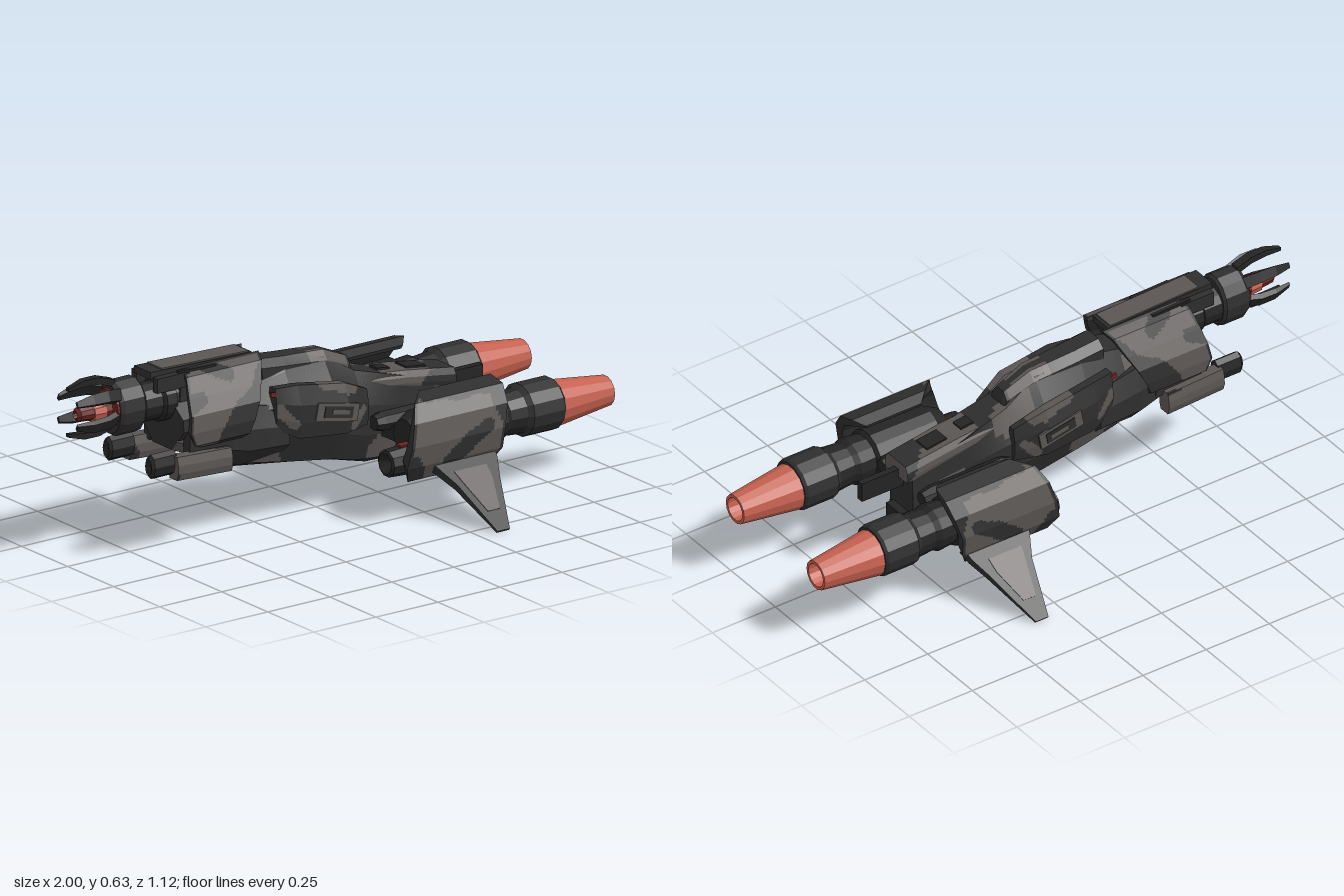
import * as THREE from 'three';

const paint = (name, color) => Object.assign(new THREE.MeshStandardMaterial({ color }), { name });
const V = (x, y, z) => new THREE.Vector3(x, y, z);

export function createModel() {
  const root = new THREE.Group();
  root.name = 'spaceship';
  const grey = paint('camouflage grey', 0x5b5654);
  const dark = paint('hull charcoal', 0x2e2e2e);
  const black = paint('machinery black', 0x242424);
  const glow = paint('exhaust coral', 0xc4604f);
  const red = paint('accent red', 0x6a2420);

  function add(name, geo, mat, parent = root) {
    const mesh = new THREE.Mesh(geo, mat);
    mesh.name = name;
    parent.add(mesh);
    return mesh;
  }

  // Flat-faced loft through rings of points; pick(centre, along, around) gives 0 or 1 for each face's material
  function loft(name, rings, mats, parent = root, pick = () => 0, su = 1, sv = 1) {
    const fine = [];
    const split = ring => ring.flatMap((p, i) => Array.from({ length: sv },
      (_, k) => p.clone().lerp(ring[(i + 1) % ring.length], k / sv)));
    const full = rings.map(split);
    full.forEach((ring, i) => {
      const steps = i < full.length - 1 ? su : 1;
      for (let k = 0; k < steps; k++)
        fine.push(ring.map((p, j) => k ? p.clone().lerp(full[i + 1][j], k / su) : p));
    });
    const tris = [];
    const n = fine[0].length;
    for (let i = 0; i < fine.length - 1; i++) for (let j = 0; j < n; j++) {
      const [a, b] = [fine[i][j], fine[i][(j + 1) % n]];
      const [d, c] = [fine[i + 1][j], fine[i + 1][(j + 1) % n]];
      const centre = a.clone().add(b).add(c).add(d).multiplyScalar(0.25);
      const m = pick(centre, (i + 0.5) / (fine.length - 1), (j + 0.5) / n);
      tris.push([a, b, c, m], [a, c, d, m]);
    }
    for (const end of [0, fine.length - 1]) {
      const ring = fine[end];
      const mean = ring.reduce((s, p) => s.add(p), V(0, 0, 0)).divideScalar(n);
      ring.forEach((p, j) => {
        const q = ring[(j + 1) % n];
        tris.push(end ? [mean, p, q, 0] : [mean, q, p, 0]);
      });
    }
    // Turn the faces outward whichever side the part is on
    const o = fine[0][0];
    const volume = tris.reduce((s, [a, b, c]) => s + a.clone().sub(o)
      .dot(b.clone().sub(o).cross(c.clone().sub(o))), 0);
    const pos = [], counts = [0, 0];
    for (const m of [0, 1]) for (const t of tris) if (t[3] === m) {
      for (const p of volume < 0 ? [t[0], t[2], t[1]] : [t[0], t[1], t[2]]) pos.push(p.x, p.y, p.z);
      counts[m] += 3;
    }
    const geo = new THREE.BufferGeometry();
    geo.setAttribute('position', new THREE.Float32BufferAttribute(pos, 3));
    geo.addGroup(0, counts[0], 0);
    if (counts[1]) geo.addGroup(counts[0], counts[1], 1);
    geo.computeVertexNormals();
    return add(name, geo, Array.isArray(mats) ? mats : [mats], parent);
  }

  // Eight-sided hull section: bottom, top, half widths low / middle / top, slant, centre z
  function section([x, y0, y1, wb, wm, wt, slant = 0], cz = 0) {
    const h = y1 - y0;
    const half = [[wb, y0], [wm, y0 + 0.3 * h], [wm * 0.97, y0 + 0.64 * h], [wt, y1]];
    return [...half, ...half.map(([w, y]) => [-w, y]).reverse()]
      .map(([w, y]) => V(x + slant * (y - y0), y, cz + w));
  }
  const box = (name, x0, x1, y0, y1, z0, z1, mat, tilt = 0, parent = root) => {
    const m = add(name, new THREE.BoxGeometry(x1 - x0, y1 - y0, Math.abs(z1 - z0)), mat, parent);
    m.position.set((x0 + x1) / 2, (y0 + y1) / 2, (z0 + z1) / 2);
    m.rotation.z = tilt;
    return m;
  };
  // Faceted barrel along x from [x, radius] points
  const barrel = (name, points, y, z, mat, parent = root, sides = 14) => {
    const lathe = new THREE.LatheGeometry(points.map(([x, r]) => new THREE.Vector2(r, x)), sides);
    const geo = lathe.toNonIndexed().rotateZ(-Math.PI / 2);
    geo.computeVertexNormals();
    const m = add(name, geo, mat, parent);
    m.position.set(0, y, z);
    return m;
  };
  // Wavy camouflage, and camouflage from round-ended strokes [x0, y0, x1, y1, radius]
  const camo = (level, phase) => p => Math.sin(13 * p.x + 15 * p.y + phase + 1.2 * Math.sin(22 * p.z))
    + 0.8 * Math.sin(19 * p.y - 11 * p.x + 9 * Math.abs(p.z)) > level ? 1 : 0;
  const strokes = list => p => list.some(([x0, y0, x1, y1, r]) => {
    const [dx, dy] = [x1 - x0, y1 - y0];
    const t = Math.min(1, Math.max(0, ((p.x - x0) * dx + (p.y - y0) * dy) / (dx * dx + dy * dy)));
    return Math.hypot(p.x - x0 - t * dx, p.y - y0 - t * dy) < r * (1 + 0.2 * Math.sin(40 * p.x));
  }) ? 1 : 0;

  // Bent armour plate: rows of [z, y, start x, end x, thickness] bulging away from (cz, cy).
  // The outside is camouflaged, the rim and the inside are dark.
  const plate = (name, rows, cz, cy, s, parent, pattern) => loft(name, rows.map(([z, y, x0, x1, t]) => {
    const k = 1 - t / Math.hypot(z - cz, y - cy);
    const [zi, yi] = [cz + (z - cz) * k, cy + (y - cy) * k];
    return [V(x0, y, s * z), V(x1, y, s * z), V(x1 - 0.005, yi, s * zi), V(x0 + 0.005, yi, s * zi)];
  }), [dark, grey], parent, (p, u, v) =>
    v > 0.008 && v < 0.24 && u > 0.03 && u < 0.97 ? 1 - pattern(p) : 0, 9, 32);

  // Fuselage core
  loft('fuselage', [
    [-0.46, 0.26, 0.48, 0.05, 0.09, 0.05], [-0.3, 0.235, 0.52, 0.07, 0.105, 0.05],
    [-0.17, 0.215, 0.54, 0.08, 0.12, 0.05], [0, 0.19, 0.53, 0.085, 0.125, 0.04],
    [0.12, 0.16, 0.46, 0.07, 0.1, 0.05], [0.3, 0.14, 0.41, 0.06, 0.075, 0.06],
    [0.5, 0.14, 0.37, 0.05, 0.065, 0.058]].map(s => section(s)), [dark, grey], root, camo(0.9, 1), 12, 5);
  loft('keel', [[-0.36, 0.225, 0.3, 0.03, 0.05, 0.05], [0, 0.18, 0.26, 0.045, 0.07, 0.07],
    [0.16, 0.14, 0.25, 0.05, 0.07, 0.07], [0.5, 0.13, 0.22, 0.05, 0.068, 0.06]].map(s => section(s)), black);
  loft('canopy', [[-0.26, 0.5, 0.57, 0.06, 0.06, 0.03], [-0.16, 0.49, 0.56, 0.065, 0.06, 0.03],
    [0.01, 0.46, 0.548, 0.055, 0.05, 0.025], [0.11, 0.43, 0.505, 0.045, 0.04, 0.02],
    [0.12, 0.42, 0.47, 0.04, 0.04, 0.02]].map(s => section(s)), [dark, grey], root,
  p => p.x > -0.06 && p.x < 0.1 && Math.abs(p.z) > 0.016 ? 1 : 0, 10, 4);
  loft('tailDeck', [[0.13, 0.38, 0.44, 0.06, 0.066, 0.05], [0.32, 0.36, 0.42, 0.062, 0.066, 0.052],
    [0.52, 0.33, 0.39, 0.06, 0.064, 0.05]].map(s => section(s)), [grey, dark], root, camo(0.7, 2), 20, 5);
  box('deckHatch', 0.34, 0.42, 0.397, 0.417, -0.03, 0.03, black, -0.13);
  box('deckVent', 0.23, 0.28, 0.412, 0.434, -0.022, 0.022, black, -0.13);
  box('tailBoom', 0.48, 0.665, 0.29, 0.36, -0.012, 0.012, black);
  box('tailPort', 0.5, 0.53, 0.15, 0.2, -0.045, 0.045, black);

  // Forward core under the armour plates, and the roof
  loft('forwardCore', [[-0.62, 0.38, 0.5, 0.09, 0.12, 0.06], [-0.38, 0.38, 0.5, 0.1, 0.125, 0.06]]
    .map(s => section(s)), dark);
  loft('roofTower', [[-0.6, 0.46, 0.605, 0.06, 0.062, 0.048, 0.15], [-0.36, 0.46, 0.59, 0.06, 0.062, 0.048, 0.5]]
    .map(s => section(s)), dark);
  loft('lowerHull', [[-0.62, 0.34, 0.45, 0.05, 0.08, 0.08], [-0.48, 0.28, 0.45, 0.07, 0.12, 0.1],
    [-0.36, 0.24, 0.45, 0.07, 0.13, 0.1], [-0.2, 0.24, 0.42, 0.07, 0.13, 0.1]].map(s => section(s)),
  [dark, grey], root, camo(0.8, 2.5), 16, 5);
  box('roofSpine', -0.7, -0.29, 0.588, 0.612, -0.045, 0.045, dark, -0.03);
  box('roofPanel', -0.65, -0.3, 0.61, 0.616, -0.04, 0.04, grey, -0.03);

  // Nose: neck, collar, muzzle and six curved prongs
  barrel('neck', [[-0.74, 0], [-0.74, 0.065], [-0.66, 0.065], [-0.65, 0.075], [-0.61, 0.075],
    [-0.6, 0.06], [-0.5, 0.06], [-0.5, 0]], 0.505, 0, black);
  barrel('noseCollar', [[-0.83, 0], [-0.835, 0.085], [-0.82, 0.095], [-0.74, 0.095], [-0.73, 0.085], [-0.73, 0]],
    0.51, 0, dark).scale.z = 0.8;
  barrel('collarMouth', [[-0.842, 0], [-0.842, 0.062], [-0.83, 0.066], [-0.83, 0]], 0.515, 0, red);
  barrel('muzzle', [[-0.9, 0], [-0.97, 0.014], [-0.96, 0.024], [-0.83, 0.036], [-0.83, 0]], 0.515, 0, red, root, 10);
  barrel('muzzleGlow', [[-0.915, 0], [-0.91, 0.032], [-0.865, 0.035], [-0.865, 0]], 0.512, 0, glow, root, 10);
  for (let k = 0; k < 6; k++) {
    const a = Math.PI / 2 + k * Math.PI / 3;
    loft('noseProng', [[-0.82, 0.068, 0.021], [-0.88, 0.088, 0.02], [-0.94, 0.09, 0.018], [-1, 0.078, 0.01]]
      .map(([x, r, w]) => [[1, 1], [1, -1], [-1, -1], [-1, 1]].map(([i, j]) => {
        const rr = r + i * w * 0.6;
        return V(x, 0.53 + rr * Math.sin(a) - j * w * Math.cos(a),
          0.75 * (rr * Math.cos(a) + j * w * Math.sin(a)));
      })), black);
  }

  for (const s of [1, -1]) {
    const side = new THREE.Group();
    side.name = s > 0 ? 'frontSide' : 'backSide';
    root.add(side);

    // Forward armour with its slanted rear edge
    plate('forwardArmour', [[0.045, 0.605, -0.58, -0.265, 0.015], [0.085, 0.588, -0.585, -0.28, 0.02],
      [0.122, 0.525, -0.6, -0.31, 0.022], [0.15, 0.475, -0.61, -0.335, 0.022], [0.159, 0.42, -0.62, -0.36, 0.022],
      [0.155, 0.375, -0.6, -0.38, 0.022], [0.125, 0.355, -0.55, -0.39, 0.015]], 0, 0.44, s, side,
    strokes([[-0.28, 0.53, -0.46, 0.38, 0.05], [-0.62, 0.5, -0.55, 0.52, 0.022], [-0.5, 0.6, -0.42, 0.57, 0.018]]));
    box('roofSlot', -0.6, -0.45, 0.597, 0.605, 0.052 * s, 0.066 * s, black, -0.03, side);

    // Forward gun pods
    loft('gunPod', [[-0.67, 0.27, 0.35, 0.02, 0.028, 0.02], [-0.45, 0.26, 0.34, 0.02, 0.028, 0.02]]
      .map(p => section(p, 0.13 * s)), [grey, dark], side, camo(0.8, 1.5), 24, 4);
    barrel('gunMuzzle', [[-0.75, 0], [-0.76, 0.03], [-0.75, 0.042], [-0.66, 0.042], [-0.66, 0]],
      0.325, 0.115 * s, black, side, 8).scale.z = 0.6;
    box('gunStrut', -0.6, -0.42, 0.33, 0.41, 0.09 * s, 0.125 * s, dark, 0, side);
    box('roofRail', -0.69, -0.56, 0.55, 0.6, 0.045 * s, 0.07 * s, dark, 0, side);

    // Shoulder panel with recessed hatch, tapering to both ends
    loft('shoulderPanel', [[-0.25, 0.35, 0.49, 0.02, 0.025, 0.015, 0.102], [-0.17, 0.31, 0.49, 0.025, 0.035, 0.015, 0.116],
      [0.02, 0.29, 0.46, 0.025, 0.035, 0.015, 0.118], [0.13, 0.29, 0.41, 0.015, 0.02, 0.01, 0.093]]
      .map(p => section(p.slice(0, 6), p[6] * s)), [dark, grey], side,
    strokes([[-0.24, 0.42, -0.19, 0.36, 0.02], [-0.06, 0.47, 0.06, 0.44, 0.022], [0.06, 0.31, 0.1, 0.35, 0.018]]), 16, 6);
    box('hatch', -0.11, 0.06, 0.345, 0.405, 0.148 * s, 0.155 * s, grey, -0.2, side);
    box('hatchInset', -0.08, 0.035, 0.356, 0.394, 0.15 * s, 0.158 * s, dark, -0.2, side);
    box('hatchBar', -0.05, 0.02, 0.366, 0.382, 0.152 * s, 0.16 * s, grey, -0.2, side);
    box('accentMark', -0.27, -0.22, 0.46, 0.475, 0.112 * s, 0.121 * s, red, -0.3, side);

    // Tail side tube and pylon to the engine
    barrel('sideTube', [[0.15, 0], [0.15, 0.025], [0.18, 0.034], [0.46, 0.034], [0.5, 0.025], [0.5, 0]],
      0.29, 0.112 * s, black, side, 8);
    box('pylon', 0.2, 0.42, 0.23, 0.28, 0.06 * s, 0.2 * s, black, 0, side);

    // Engine
    const z = 0.226 * s;
    barrel('engineBody', [[0.19, 0], [0.19, 0.06], [0.24, 0.085], [0.48, 0.088], [0.49, 0.076], [0.55, 0.082],
      [0.57, 0.072], [0.64, 0.078], [0.64, 0]], 0.265, z, black, side);
    barrel('engineCollar', [[0.63, 0], [0.63, 0.075], [0.65, 0.09], [0.77, 0.09], [0.78, 0.083], [0.78, 0]],
      0.265, z, dark, side);
    barrel('exhaust', [[0.775, 0.08], [1, 0.052], [1, 0.041], [0.9, 0.036], [0.9, 0]], 0.26, z, glow, side);
    barrel('intake', [[0.12, 0], [0.085, 0.036], [0.09, 0.046], [0.16, 0.05], [0.32, 0.045], [0.32, 0]],
      0.205, 0.262 * s, black, side, 10);
    box('intakeMark', 0.14, 0.185, 0.25, 0.258, 0.245 * s, 0.275 * s, red, 0, side);

    // Curved outer engine shell
    plate('engineShell', [[0.2, 0.4, 0.28, 0.5, 0.012], [0.235, 0.416, 0.24, 0.53, 0.026],
      [0.295, 0.4, 0.18, 0.535, 0.036], [0.335, 0.345, 0.15, 0.525, 0.036], [0.351, 0.27, 0.13, 0.505, 0.036],
      [0.342, 0.2, 0.115, 0.5, 0.038], [0.31, 0.145, 0.14, 0.47, 0.036], [0.27, 0.128, 0.19, 0.42, 0.03],
      [0.225, 0.145, 0.22, 0.4, 0.014]], 0.232, 0.273, s, side,
    strokes([[0.24, 0.42, 0.54, 0.4, 0.026], [0.28, 0.2, 0.44, 0.29, 0.028], [0.5, 0.36, 0.53, 0.3, 0.03],
      [0.14, 0.22, 0.17, 0.16, 0.025], [0.3, 0.13, 0.4, 0.15, 0.02]]));

    // Downswept fin with a lighter panel on both faces
    const fin = (name, rows, thick, mat) => loft(name, rows.map(([t, x0, x1]) =>
      [[x0, 1], [x1, 1], [x1, -1], [x0, -1]].map(([x, k]) => {
        const w = k * (thick + 0.012 * (1 - t));
        return V(x, 0.175 - 0.168 * t + 0.78 * w, s * (0.33 + 0.23 * t + 0.6 * w));
      })), mat, side);
    fin('fin', [[-0.1, 0.22, 0.48], [0.06, 0.24, 0.47], [0.3, 0.27, 0.44], [1, 0.315, 0.365]], 0.004, dark);
    fin('finPanel', [[0.12, 0.285, 0.415], [0.3, 0.295, 0.41], [0.72, 0.322, 0.37]], 0.006, grey);
  }
  return root;
}
